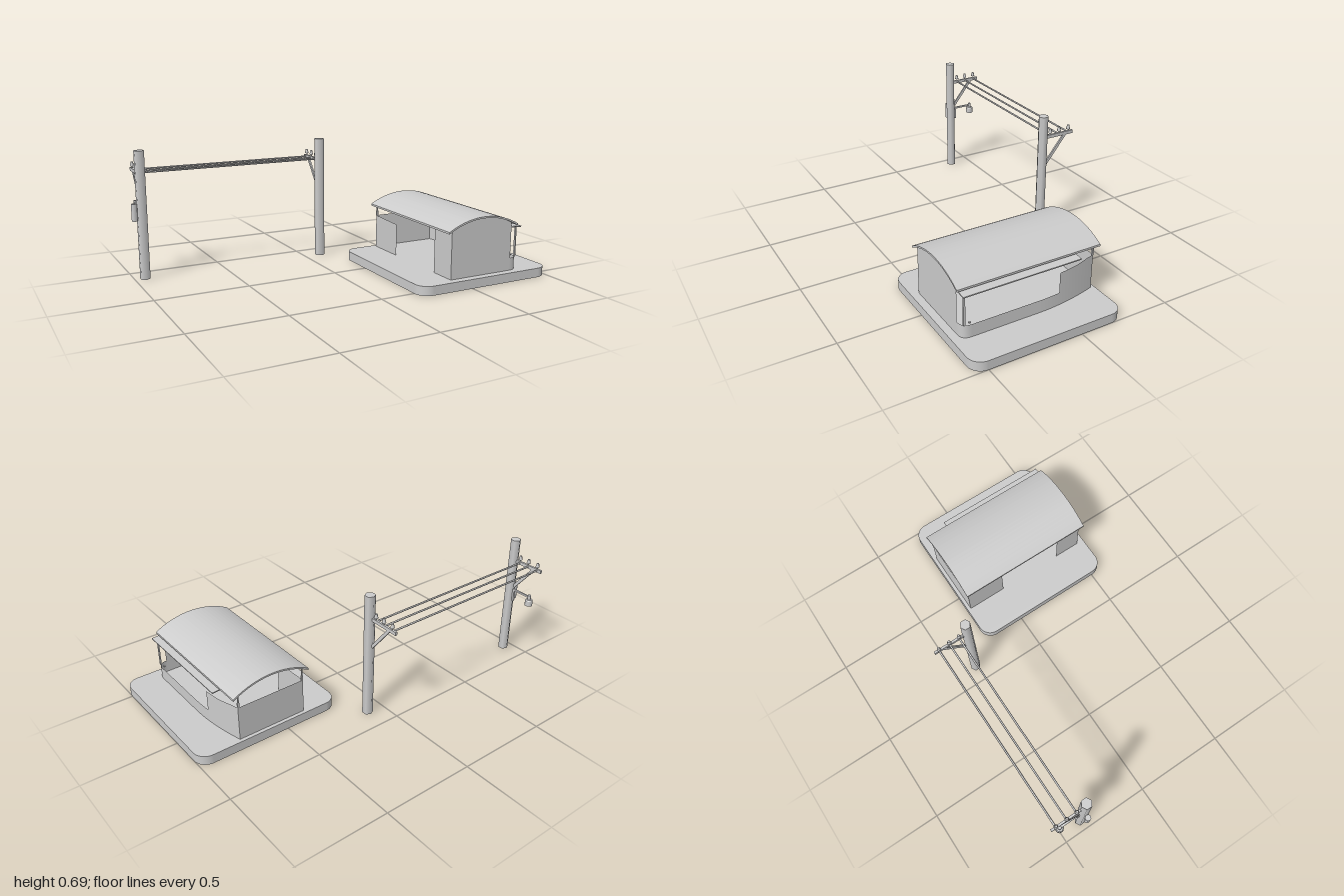
import * as THREE from 'three';

const flat = new THREE.MeshStandardMaterial({ color: 0xcccccc, flatShading: true, side: THREE.DoubleSide });
const smooth = new THREE.MeshStandardMaterial({ color: 0xcccccc, side: THREE.DoubleSide });

function add(parent, name, geometry, x = 0, y = 0, z = 0, material = smooth) {
  const mesh = new THREE.Mesh(geometry, material);
  mesh.name = name;
  mesh.position.set(x, y, z);
  parent.add(mesh);
  return mesh;
}

// Box given by its min and max corners
function block(parent, name, [x0, y0, z0], [x1, y1, z1]) {
  return add(parent, name, new THREE.BoxGeometry(x1 - x0, y1 - y0, z1 - z0),
    (x0 + x1) / 2, (y0 + y1) / 2, (z0 + z1) / 2, flat);
}

// Thin upright wall along plan points [x, z], from y0 up to top(z)
function wall(parent, name, plan, y0, top) {
  const positions = [], index = [];
  plan.forEach(([x, z], i) => {
    positions.push(x, y0, z, x, top(z), z);
    if (i) {
      const a = 2 * i - 2;
      index.push(a, a + 2, a + 1, a + 1, a + 2, a + 3);
    }
  });
  const geometry = new THREE.BufferGeometry();
  geometry.setAttribute('position', new THREE.Float32BufferAttribute(positions, 3));
  geometry.setIndex(index);
  geometry.computeVertexNormals();
  return add(parent, name, geometry);
}

// Points on a quadratic plan curve between parameters t0 and t1
function bend(a, b, c, t0 = 0, t1 = 1, n = 8) {
  const curve = new THREE.QuadraticBezierCurve(
    new THREE.Vector2(...a), new THREE.Vector2(...b), new THREE.Vector2(...c));
  return Array.from({ length: n + 1 }, (_, i) => curve.getPoint(t0 + (t1 - t0) * i / n).toArray());
}

// Roof arc: points of the skin, lowered by drop
const ROOF = { x: 0.582, r: 0.433, top: 0.365 };
function arcPoints(x0, x1, drop, n = 20) {
  return Array.from({ length: n + 1 }, (_, i) => {
    const x = x0 + (x1 - x0) * i / n;
    return new THREE.Vector2(x,
      ROOF.top - ROOF.r + Math.sqrt((ROOF.r - drop) ** 2 - (x - ROOF.x) ** 2));
  });
}

// Rounded slab, hollow underneath
function createBase() {
  const base = new THREE.Group();
  base.name = 'base';
  const [x0, x1, z0, z1, r, h] = [0.19, 1, -0.24, 0.573, 0.07, 0.05];
  const s = new THREE.Shape();
  s.absarc(x1 - r, -z0 - r, r, 0, Math.PI / 2);
  s.absarc(x0 + r, -z0 - r, r, Math.PI / 2, Math.PI);
  s.absarc(x0 + r, -z1 + r, r, Math.PI, Math.PI * 1.5);
  s.absarc(x1 - r, -z1 + r, r, Math.PI * 1.5, Math.PI * 2);
  s.closePath();
  add(base, 'baseTop', new THREE.ShapeGeometry(s, 8).rotateX(-Math.PI / 2), 0, h, 0);
  wall(base, 'baseRim', s.getPoints(8).map(p => [p.x, -p.y]), 0, () => h);
  return base;
}

function createCabin() {
  const cabin = new THREE.Group();
  cabin.name = 'cabin';

  // Curved roof
  const roof = new THREE.Shape([...arcPoints(0.364, 0.8, 0), ...arcPoints(0.364, 0.8, 0.009).reverse()]);
  add(cabin, 'roof', new THREE.ExtrudeGeometry(roof, { depth: 0.78, bevelEnabled: false }), 0, 0, -0.235, flat);

  // Front wall up to the roof
  const front = new THREE.Shape([new THREE.Vector2(0.39, 0.05), new THREE.Vector2(0.77, 0.05),
    ...arcPoints(0.39, 0.77, 0.006).reverse()]);
  add(cabin, 'frontWall', new THREE.ShapeGeometry(front), 0, 0, 0.531);

  // Counter wall with rounded front corner, curving in towards the back
  const side = [[0.82, 0.12], [0.82, -0.04], [0.77, -0.22]];
  const split = 0.357;
  wall(cabin, 'counterWall', [
    ...bend([0.77, 0.531], [0.82, 0.531], [0.82, 0.48]),
    ...bend(...side, 0, split)], 0.05, () => 0.118);
  wall(cabin, 'sideWall', bend(...side, split, 1, 12), 0.05,
    z => 0.229 + 0.009 * THREE.MathUtils.smoothstep(-z, 0.08, 0.2));
  block(cabin, 'counterKnob', [0.8, 0.118, 0.48], [0.81, 0.124, 0.49]);

  // Back wall and doorway side
  wall(cabin, 'backWall', [[0.77, -0.22], [0.39, -0.22]], 0.05, () => 0.238);
  wall(cabin, 'doorSideBackWall', [[0.39, -0.22], [0.39, 0.005]], 0.05,
    z => (z < 0 ? 0.238 : 0.229));
  wall(cabin, 'doorSideFrontWall', [[0.39, 0.38], [0.39, 0.531]], 0.05, () => 0.314);

  // Roof posts
  for (const x of [0.395, 0.766]) {
    block(cabin, 'backPost', [x - 0.003, 0.235, -0.223], [x + 0.003, 0.314, -0.217]);
    block(cabin, 'backPostFoot', [x - 0.005, 0.235, -0.223], [x + 0.005, 0.265, -0.214]);
  }
  block(cabin, 'counterPost', [0.807, 0.118, 0.511], [0.814, 0.285, 0.521]);

  // Narrow canopy over the counter
  const canopy = block(cabin, 'canopy', [0.77, 0.282, -0.1], [0.835, 0.288, 0.532]);
  canopy.rotation.z = -0.06;
  return cabin;
}

function createPole(x) {
  const pole = new THREE.Group();
  pole.name = 'pole';
  pole.position.set(x, 0, -0.377);
  add(pole, 'poleShaft', new THREE.CylinderGeometry(0.028, 0.028, 0.69, 6), 0, 0.345, 0);
  block(pole, 'crossArm', [-0.006, 0.556, -0.194], [0.006, 0.574, -0.02]);

  // Diagonal brace
  const [z0, y0, z1, y1] = [-0.025, 0.41, -0.143, 0.558];
  const brace = add(pole, 'brace', new THREE.BoxGeometry(0.009, Math.hypot(z1 - z0, y1 - y0), 0.016),
    0, (y0 + y1) / 2, (z0 + z1) / 2, flat);
  brace.rotation.x = Math.atan2(z1 - z0, y1 - y0);

  // Insulators
  for (const z of [-0.048, -0.105, -0.166]) {
    add(pole, 'insulatorPin', new THREE.CylinderGeometry(0.003, 0.003, 0.02, 6), 0, 0.58, z);
    add(pole, 'insulator', new THREE.CylinderGeometry(0.006, 0.011, 0.023, 8), 0, 0.596, z);
  }
  return pole;
}

function createLamp() {
  const lamp = new THREE.Group();
  lamp.name = 'lamp';
  block(lamp, 'lampBracket', [-0.006, 0.32, -0.412], [0.006, 0.394, -0.4]);
  block(lamp, 'lampArm', [-0.005, 0.384, -0.518], [0.005, 0.394, -0.402]);
  add(lamp, 'lampCap', new THREE.CylinderGeometry(0.009, 0.009, 0.026, 8), 0, 0.388, -0.517);
  add(lamp, 'lampCollar', new THREE.CylinderGeometry(0.017, 0.021, 0.006, 12), 0, 0.373, -0.517);
  add(lamp, 'lampShade', new THREE.CylinderGeometry(0.021, 0.021, 0.03, 12), 0, 0.355, -0.517);
  return lamp;
}

export function createModel() {
  const model = new THREE.Group();
  model.name = 'roadsideCabinWithPowerLine';
  model.add(createBase(), createCabin());

  // Power line
  const [xa, xb] = [-0.945, 0.095];
  model.add(createPole(xa), createPole(xb));
  for (const z of [-0.426, -0.483, -0.544]) {
    const wire = add(model, 'wire', new THREE.CylinderGeometry(0.005, 0.005, xb - xa, 6),
      (xa + xb) / 2, 0.565, z);
    wire.rotation.z = Math.PI / 2;
  }

  // Lamp and transformer on the outer pole
  const lamp = createLamp();
  lamp.position.x = xa;
  model.add(lamp);
  add(model, 'transformer', new THREE.CylinderGeometry(0.016, 0.016, 0.092, 8), -0.984, 0.365, -0.377);
  return model;
}
